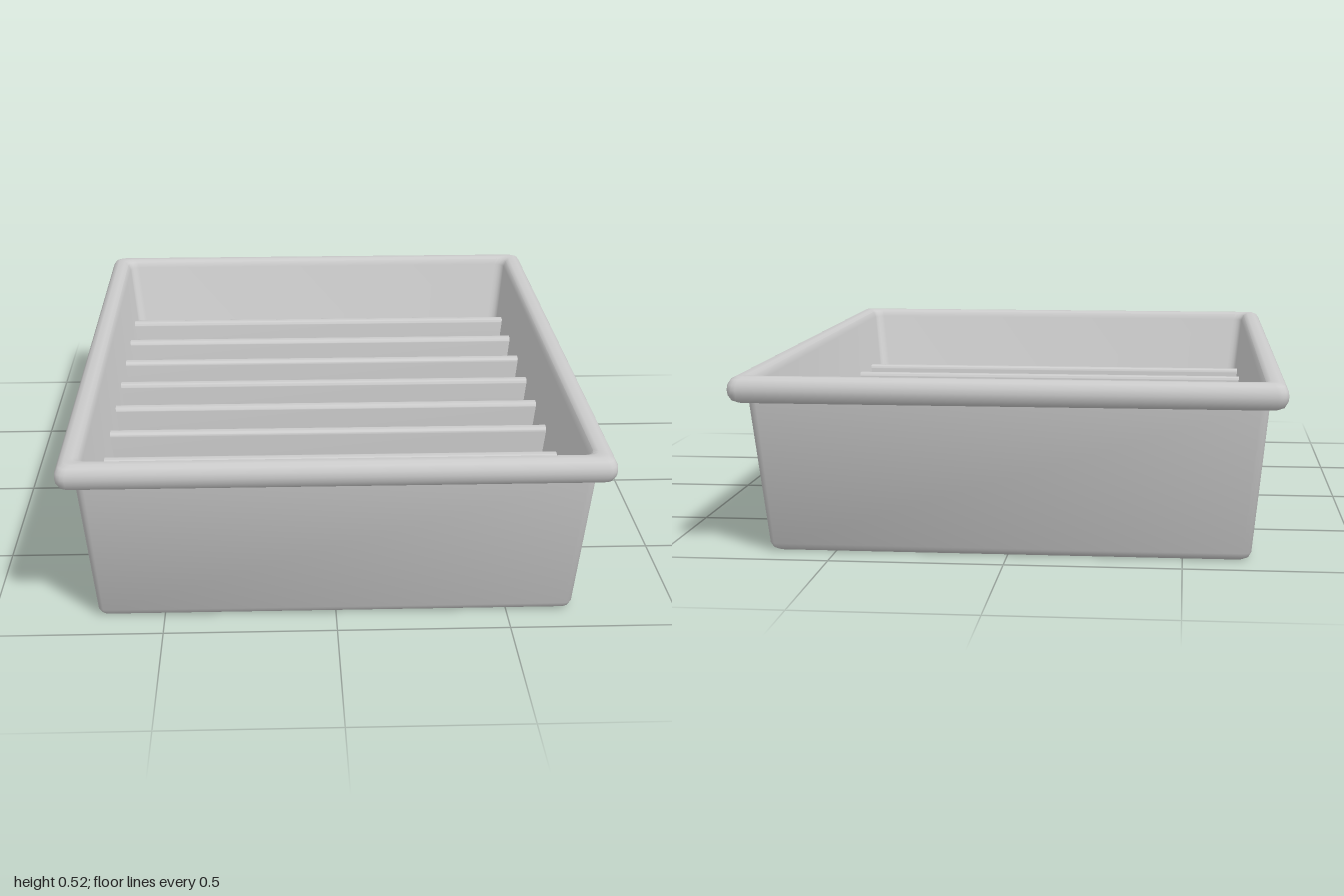
import * as THREE from 'three';
import { toCreasedNormals } from 'three/addons/utils/BufferGeometryUtils.js';

const material = new THREE.MeshStandardMaterial({ color: 0xcccccc });

// Lofts rounded rectangles given as [y, half width, half depth, corner radius]
function loft(sections, cornerSteps = 4) {
  const positions = [], index = [];
  const n = 4 * (cornerSteps + 1);
  for (const [y, hx, hz, r] of sections) {
    for (let c = 0; c < 4; c++) {
      const sx = c === 0 || c === 3 ? 1 : -1;
      const sz = c < 2 ? 1 : -1;
      for (let i = 0; i <= cornerSteps; i++) {
        const t = (c + i / cornerSteps) * Math.PI / 2;
        positions.push(sx * (hx - r) + r * Math.cos(t), y, sz * (hz - r) + r * Math.sin(t));
      }
    }
  }
  for (let s = 0; s < sections.length - 1; s++) {
    for (let i = 0; i < n; i++) {
      const a = s * n + i, b = s * n + (i + 1) % n;
      index.push(a, a + n, b, b, a + n, b + n);
    }
  }
  const geometry = new THREE.BufferGeometry();
  geometry.setAttribute('position', new THREE.Float32BufferAttribute(positions, 3));
  geometry.setIndex(index);
  return toCreasedNormals(geometry, 0.75);
}

// Slat with rounded top and grooved foot, leaning with the taper of the tray
function slat(baseZ) {
  const top = 0.33, half = 0.02, r = 0.012;
  const shape = new THREE.Shape();
  shape.moveTo(0.03, 0.004);
  shape.lineTo(0.03, 0.042);
  shape.lineTo(half, 0.042);
  shape.lineTo(half, top - r);
  shape.absarc(half - r, top - r, r, 0, Math.PI / 2, false);
  shape.absarc(r - half, top - r, r, Math.PI / 2, Math.PI, false);
  shape.lineTo(-half, 0.042);
  shape.lineTo(-0.03, 0.042);
  shape.lineTo(-0.03, 0.004);
  shape.lineTo(-0.012, 0.004);
  shape.lineTo(-0.012, 0.025);
  shape.lineTo(0.012, 0.025);
  shape.lineTo(0.012, 0.004);
  const geometry = new THREE.ExtrudeGeometry(shape, { depth: 1.34, bevelEnabled: false, curveSegments: 4 });
  geometry.translate(0, 0, -0.67);
  geometry.rotateY(Math.PI / 2);
  const p = geometry.attributes.position;
  for (let i = 0; i < p.count; i++) {
    const y = p.getY(i);
    p.setX(i, p.getX(i) * (1 + 0.13 * y));
    p.setZ(i, p.getZ(i) + baseZ * (1 + 0.11 * y));
  }
  return toCreasedNormals(geometry, 0.6);
}

export function createModel() {
  const group = new THREE.Group();
  const add = (name, geometry) => {
    const mesh = new THREE.Mesh(geometry, material);
    mesh.name = name;
    group.add(mesh);
  };

  // Tray: recessed underside, tapered walls, rolled rim, inner walls and floor
  add('tray', loft([
    [0.035, 0, 0, 0],
    [0.035, 0.655, 0.86, 0.02],
    [0.004, 0.655, 0.86, 0.02],
    [0, 0.66, 0.865, 0.02],
    [0, 0.675, 0.88, 0.02],
    [0.007, 0.688, 0.892, 0.025],
    [0.022, 0.695, 0.9, 0.025],
    [0.45, 0.735, 0.95, 0.025],
    [0.445, 0.76, 0.975, 0.025],
    [0.452, 0.774, 0.989, 0.027],
    [0.468, 0.783, 0.998, 0.03],
    [0.483, 0.785, 1, 0.03],
    [0.498, 0.783, 0.998, 0.03],
    [0.513, 0.774, 0.989, 0.027],
    [0.52, 0.76, 0.975, 0.025],
    [0.52, 0.737, 0.952, 0.025],
    [0.514, 0.724, 0.939, 0.03],
    [0.495, 0.715, 0.93, 0.03],
    [0.07, 0.668, 0.87, 0.03],
    [0.05, 0.658, 0.86, 0.03],
    [0.05, 0, 0, 0],
  ]));

  // Row of eight evenly spaced slats across the floor
  for (let i = 0; i < 8; i++) add('slat' + (i + 1), slat((-0.775 + 0.2133 * i) / 1.036));

  return group;
}
